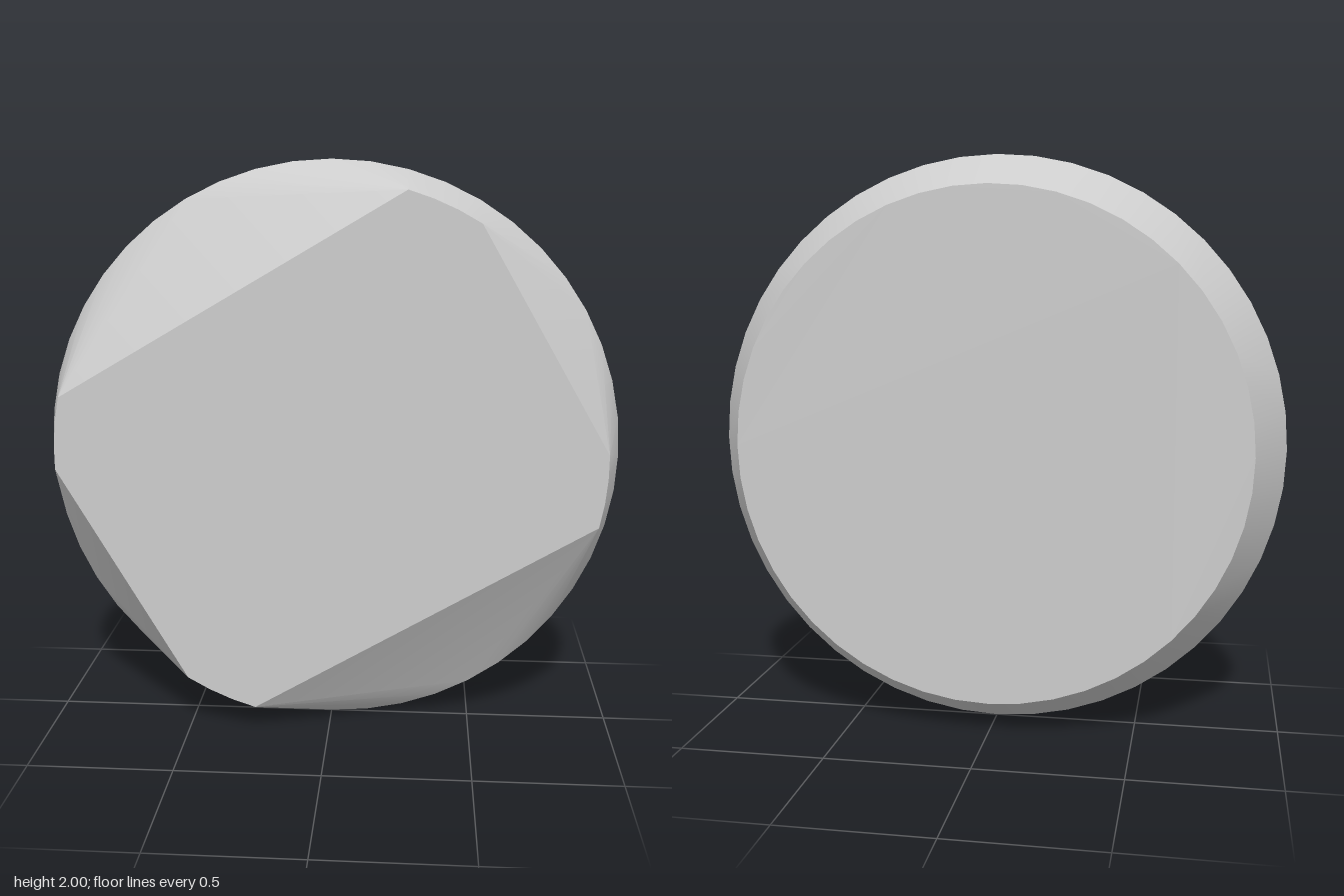
import * as THREE from 'three';
import { toCreasedNormals } from 'three/addons/utils/BufferGeometryUtils.js';
import { ConvexGeometry } from 'three/addons/geometries/ConvexGeometry.js';

// Points along an arc (degrees) at a given radius and depth
function arc(radius, z, from, to, steps) {
  const points = [];
  for (let i = 0; i <= steps; i++) {
    const a = THREE.MathUtils.degToRad(from + ((to - from) * i) / steps);
    points.push(new THREE.Vector3(radius * Math.cos(a), radius * Math.sin(a), z));
  }
  return points;
}

export function createModel() {
  const group = new THREE.Group();
  group.name = 'facetedDisc';
  const stone = new THREE.MeshStandardMaterial({ color: 0xcccccc });
  stone.name = 'grey stone';

  // Widest rim and the round, chamfered back
  const sides = 48;
  const last = 360 - 360 / sides;
  const points = [
    ...arc(1, 0, 0, last, sides - 1),
    ...arc(0.89, -0.195, 0, last, sides - 1),
  ];

  // Front face: four short arcs joined by straight cuts, alike after a half turn
  for (const turn of [0, 180]) {
    points.push(...arc(0.942, 0.195, 58, 74, 3));
    points.push(...arc(0.942, 0.195, 167 + turn, 182.5 + turn, 3));
  }
  points.push(...arc(0.942, 0.195, 238, 254, 3));

  const geometry = toCreasedNormals(new ConvexGeometry(points), 0.42);
  const disc = new THREE.Mesh(geometry, stone);
  disc.name = 'cutDisc';
  disc.position.y = 1;
  group.add(disc);
  return group;
}
